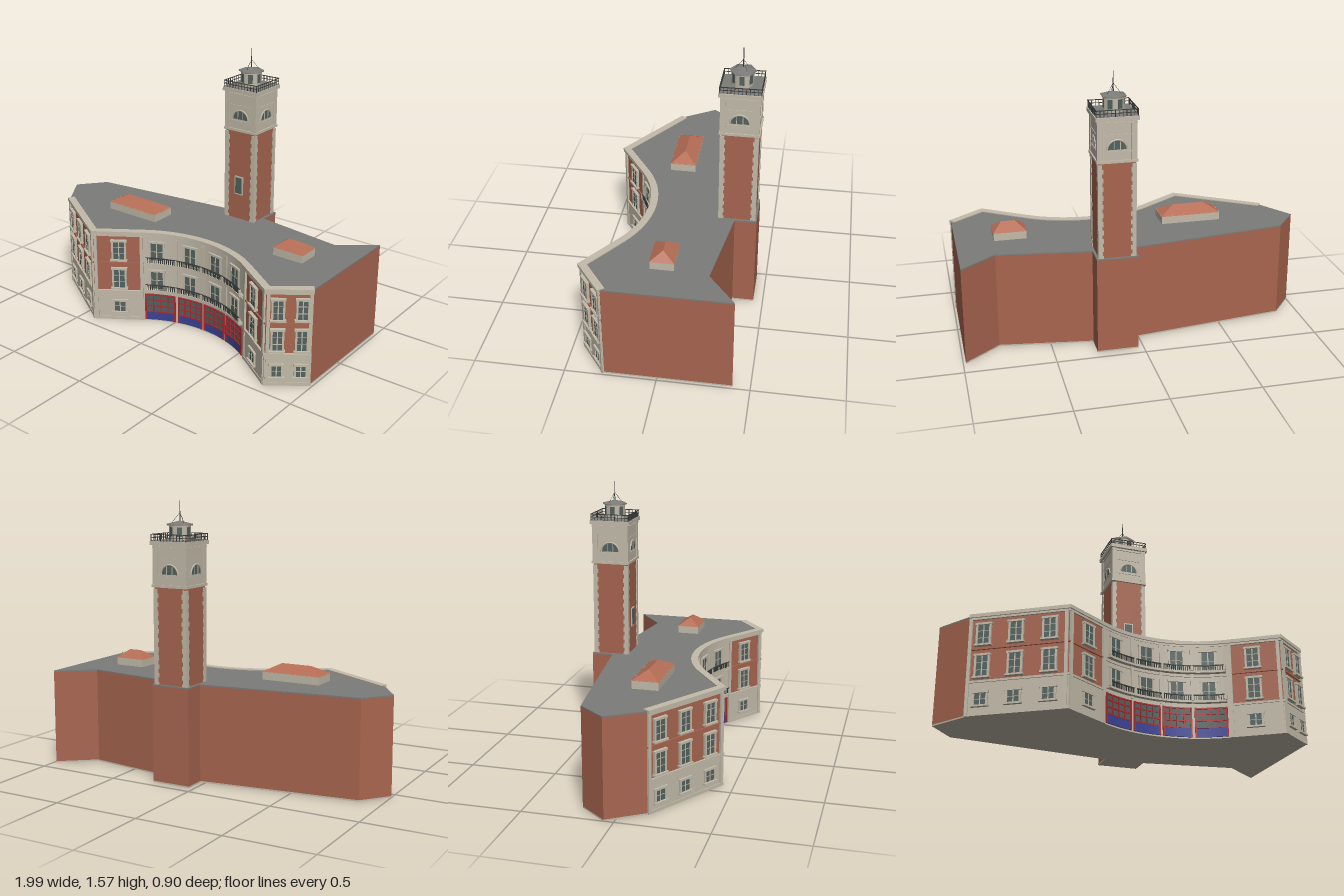
import * as THREE from 'three';

const mat = (name, color) => Object.assign(new THREE.MeshStandardMaterial({ color }), { name });
const M = {
  brick: mat('brick', 0xa8654f), stone: mat('pale stone', 0xc3bbaa), roof: mat('grey roofing', 0x7c7c7b),
  tile: mat('clay tile', 0xb56d55), glass: mat('dark glass', 0x52625f), red: mat('red door frame', 0xb02a30),
  blue: mat('blue door panel', 0x3c4396), metal: mat('dark metal', 0x3a3c3a),
};

function add(parent, name, geo, material, x = 0, y = 0, z = 0) {
  const m = new THREE.Mesh(geo, material);
  m.name = name;
  m.position.set(x, y, z);
  parent.add(m);
  return m;
}
const box = (p, name, material, w, h, d, x, y, z) => add(p, name, new THREE.BoxGeometry(w, h, d), material, x, y, z);
function group(parent, name) {
  const g = new THREE.Group();
  g.name = name;
  parent.add(g);
  return g;
}

// Plan polygon [x, z] raised from y0 to y1
function prism(parent, name, pts, y0, y1, material) {
  const shape = new THREE.Shape(pts.map(([x, z]) => new THREE.Vector2(x, -z)));
  const geo = new THREE.ExtrudeGeometry(shape, { depth: y1 - y0, bevelEnabled: false });
  geo.rotateX(-Math.PI / 2);
  return add(parent, name, geo, material, 0, y0, 0);
}

// Street front in plan, left to right: wing, concave arc, wing
const ARC = { x: 0.19, z: 0.804, r: 0.644, half: 0.593 };
const front = [[-0.87, 0.14], [-0.41, 0.43]];
for (let i = 0; i <= 28; i++) {
  const a = -ARC.half + (2 * ARC.half * i) / 28;
  front.push([ARC.x + ARC.r * Math.sin(a), ARC.z - ARC.r * Math.cos(a)]);
}
front.push([0.79, 0.43], [0.985, 0.285]);
const arcX0 = -0.17, arcX1 = 0.55;

// Position and heading of the front wall at a given x
function at(x) {
  let i = 0;
  while (i < front.length - 2 && front[i + 1][0] < x) i++;
  const [a, b] = [front[i], front[i + 1]];
  const t = (x - a[0]) / (b[0] - a[0]);
  return { x, z: a[1] + t * (b[1] - a[1]), turn: Math.atan2(a[1] - b[1], b[0] - a[0]) };
}
function stretch(x0, x1) {
  const p = (x) => [x, at(x).z];
  return [p(x0), ...front.filter(([x]) => x > x0 + 0.003 && x < x1 - 0.003), p(x1)];
}
// Mitred offset of a plan line
function offset(pts, d) {
  const normal = (a, b) => new THREE.Vector2(a[1] - b[1], b[0] - a[0]).normalize();
  return pts.map((p, i) => {
    const n0 = normal(pts[Math.max(i - 1, 0)], pts[Math.max(i, 1)]);
    const n1 = normal(pts[Math.min(i, pts.length - 2)], pts[Math.min(i + 1, pts.length - 1)]);
    const n = n0.clone().add(n1).normalize();
    const k = d / n.dot(n0);
    return [p[0] + n.x * k, p[1] + n.y * k];
  });
}
// Band that follows the front wall
function band(parent, name, x0, x1, y0, y1, material, out, inner = -0.004) {
  const line = stretch(x0, x1);
  return prism(parent, name, [...offset(line, out), ...offset(line, inner).reverse()], y0, y1, material);
}
// Group on the front wall: local x along the wall, local z outward
function onWall(parent, name, x, y) {
  const g = group(parent, name), p = at(x);
  g.position.set(p.x, y, p.z);
  g.rotation.y = p.turn;
  return g;
}

function windowUnit(parent, x, y0, y1, w, panes) {
  const h = y1 - y0, g = onWall(parent, 'window', x, (y0 + y1) / 2);
  box(g, 'windowGlass', M.glass, w, h, 0.008, 0, 0, 0.006);
  for (const s of [-1, 1]) box(g, 'windowJamb', M.stone, 0.011, h, 0.016, s * (w / 2 - 0.004), 0, 0.007);
  box(g, 'windowLintel', M.stone, w + 0.012, 0.012, 0.02, 0, h / 2, 0.008);
  box(g, 'windowSill', M.stone, w + 0.016, 0.01, 0.026, 0, -h / 2, 0.01);
  box(g, 'windowMullion', M.stone, 0.006, h, 0.012, 0, 0, 0.006);
  for (let i = 1; i < panes; i++) box(g, 'glazingBar', M.stone, w, 0.003, 0.011, 0, -h / 2 + (h * i) / panes, 0.006);
}

function garageDoor(parent, x0, x1) {
  const g = group(parent, 'garageDoor');
  band(g, 'doorGlass', x0, x1, 0.008, 0.174, M.glass, 0.009);
  band(g, 'doorPanel', x0, x1, 0.008, 0.06, M.blue, 0.012);
  for (const y of [0.06, 0.098, 0.136, 0.169]) band(g, 'doorRail', x0, x1, y - 0.003, y + 0.004, M.red, 0.014);
  for (let i = 0; i <= 4; i++) {
    const s = onWall(g, 'doorStile', x0 + ((x1 - x0) * i) / 4, 0.091);
    const edge = i % 4 === 0;
    box(s, 'doorBar', M.red, edge ? 0.009 : 0.006, edge ? 0.166 : 0.112, 0.014, 0, edge ? 0 : 0.027, 0.008);
  }
}

function balcony(parent, y) {
  const g = group(parent, 'balcony');
  band(g, 'balconySlab', arcX0 + 0.012, arcX1 - 0.012, y - 0.012, y, M.stone, 0.032);
  band(g, 'balconyHandrail', arcX0 + 0.012, arcX1 - 0.012, y + 0.028, y + 0.033, M.metal, 0.031, 0.025);
  for (let i = 0; i <= 60; i++) {
    const p = onWall(g, 'baluster', arcX0 + 0.014 + (0.692 * i) / 60, y + 0.015);
    const post = i % 15 === 0;
    box(p, 'balusterBar', post ? M.stone : M.metal, post ? 0.012 : 0.004, 0.032, post ? 0.012 : 0.004, 0, 0, 0.028);
  }
}

// Small hipped roof house
function roofHouse(parent, x0, x1, z0, z1, r0, r1) {
  const g = group(parent, 'roofHouse');
  const cx = (x0 + x1) / 2, cz = (z0 + z1) / 2;
  box(g, 'roofHouseWalls', M.stone, x1 - x0 - 0.006, 0.05, z1 - z0 - 0.006, cx, 0.582, cz);
  const y = 0.605, A = [x0, y, z1], B = [x1, y, z1], C = [x1, y, z0], D = [x0, y, z0], E = [r0, 0.65, cz], F = [r1, 0.65, cz];
  const tris = [A, B, F, A, F, E, C, D, E, C, E, F, B, C, F, D, A, E, A, D, C, A, C, B];
  const geo = new THREE.BufferGeometry();
  geo.setAttribute('position', new THREE.Float32BufferAttribute(tris.flat(), 3));
  geo.computeVertexNormals();
  add(g, 'hippedRoof', geo, M.tile);
}

function tower(parent) {
  const g = group(parent, 'tower');
  g.position.set(0.147, 0, -0.333);
  box(g, 'towerShaft', M.brick, 0.2, 0.56, 0.2, 0, 0.825, 0);
  box(g, 'belfry', M.stone, 0.206, 0.245, 0.206, 0, 1.222, 0);
  for (const [y, h, w] of [[1.105, 0.014, 0.222], [1.158, 0.008, 0.212], [1.25, 0.006, 0.212], [1.315, 0.008, 0.216], [1.338, 0.022, 0.234]])
    box(g, 'belfryCourse', M.stone, w, h, w, 0, y, 0);
  box(g, 'towerRoof', M.roof, 0.222, 0.006, 0.222, 0, 1.35, 0);
  // Quoins stacked at the corners
  for (const sx of [-1, 1]) for (const sz of [-1, 1]) {
    for (let i = 0; i < 22; i++) {
      const w = i % 2 ? 0.024 : 0.03;
      box(g, 'quoin', M.stone, w, 0.0245, w, sx * (0.105 - w / 2), 0.562 + i * 0.0245, sz * (0.105 - w / 2));
    }
    box(g, 'belfryPilaster', M.stone, 0.03, 0.235, 0.03, sx * 0.092, 1.218, sz * 0.092);
  }
  // Lunette and railing on each face
  for (let k = 0; k < 4; k++) {
    const f = group(g, 'towerFace');
    f.rotation.y = (k * Math.PI) / 2;
    add(f, 'lunetteGlass', new THREE.CircleGeometry(0.05, 20, 0, Math.PI), M.glass, 0, 1.17, 0.1045);
    add(f, 'lunetteArch', new THREE.TorusGeometry(0.053, 0.005, 6, 20, Math.PI), M.stone, 0, 1.17, 0.104);
    for (const x of [-0.017, 0.017]) box(f, 'lunetteBar', M.stone, 0.004, 0.045, 0.006, x, 1.192, 0.104);
    box(f, 'railTop', M.metal, 0.226, 0.004, 0.004, 0, 1.385, 0.111);
    box(f, 'railMiddle', M.metal, 0.226, 0.003, 0.003, 0, 1.368, 0.111);
    for (let i = 0; i < 12; i++) box(f, 'railPost', M.metal, 0.003, 0.036, 0.003, -0.111 + i * 0.0202, 1.367, 0.111);
  }
  // Stair window
  box(g, 'towerWindowFrame', M.stone, 0.058, 0.112, 0.012, -0.004, 0.768, 0.1);
  box(g, 'towerWindowGlass', M.glass, 0.044, 0.096, 0.008, -0.004, 0.768, 0.104);
  // Hexagonal lantern with mast
  const l = group(g, 'lantern');
  l.position.x = -0.003;
  add(l, 'lanternWalls', new THREE.CylinderGeometry(0.06, 0.06, 0.085, 6), M.stone, 0, 1.39, 0);
  for (let k = 0; k < 6; k++) {
    const f = group(l, 'lanternSide');
    f.rotation.y = Math.PI / 6 + (k * Math.PI) / 3;
    box(f, 'lanternGlass', M.glass, 0.026, 0.05, 0.006, 0, 1.397, 0.052);
  }
  add(l, 'lanternEaves', new THREE.CylinderGeometry(0.073, 0.07, 0.008, 6), M.stone, 0, 1.435, 0);
  add(l, 'lanternRoof', new THREE.ConeGeometry(0.073, 0.018, 6), M.roof, 0, 1.448, 0);
  add(l, 'mast', new THREE.CylinderGeometry(0.002, 0.003, 0.115, 6), M.metal, 0, 1.508, 0);
  for (let k = 0; k < 3; k++) {
    const a = (k * 2 * Math.PI) / 3;
    const line = new THREE.LineCurve3(new THREE.Vector3(0, 1.5, 0), new THREE.Vector3(0.045 * Math.sin(a), 1.444, 0.045 * Math.cos(a)));
    add(l, 'guyWire', new THREE.TubeGeometry(line, 1, 0.001, 4), M.metal);
  }
}

export function createModel() {
  const model = new THREE.Group();
  model.name = 'fireStation';
  // Main block
  const plan = [...front, [0.985, -0.405], [0.786, -0.25], [0.262, -0.322], [0.262, -0.445], [0.03, -0.445],
    [0.03, -0.322], [-0.877, -0.205], [-1, -0.053]];
  prism(model, 'foundation', plan, 0, 0.008, M.stone);
  prism(model, 'brickWalls', plan, 0.008, 0.552, M.brick);
  prism(model, 'flatRoof', plan, 0.552, 0.56, M.roof);
  band(model, 'cornice', -0.87, 0.985, 0.545, 0.565, M.stone, 0.016, -0.026);
  band(model, 'corniceMoulding', -0.87, 0.985, 0.533, 0.545, M.stone, 0.009);

  // Wing facades
  for (const [x0, x1] of [[-0.87, arcX0], [arcX1, 0.985]]) {
    band(model, 'stoneBase', x0, x1, 0, 0.18, M.stone, 0.006);
    band(model, 'baseCourse', x0, x1, 0.178, 0.19, M.stone, 0.012);
    band(model, 'plinth', x0, x1, 0, 0.018, M.stone, 0.01);
    band(model, 'floorCourse', x0, x1, 0.361, 0.368, M.brick, 0.009);
  }
  for (const x of [-0.862, -0.42, -0.4, -0.178, 0.558, 0.78, 0.8, 0.976])
    box(onWall(model, 'cornerPilaster', x, 0.27), 'pilasterShaft', M.stone, 0.018, 0.54, 0.014, 0, 0, 0.005);
  for (const [x, w] of [[-0.8, 0.08], [-0.65, 0.08], [-0.495, 0.08], [-0.287, 0.082], [0.663, 0.082], [0.84, 0.068], [0.942, 0.068]]) {
    windowUnit(model, x, 0.05, 0.125, w, 2);
    windowUnit(model, x, 0.205, 0.33, w, 3);
    windowUnit(model, x, 0.385, 0.505, w, 3);
  }

  // Curved centre
  band(model, 'curvedStoneWall', arcX0, arcX1, 0, 0.552, M.stone, 0.006);
  for (const [x0, x1] of [[-0.16, 0], [0.025, 0.178], [0.2, 0.355], [0.378, 0.535]]) garageDoor(model, x0, x1);
  for (const x of [-0.1, 0.1, 0.28, 0.452]) {
    windowUnit(model, x, 0.205, 0.325, 0.088, 2);
    windowUnit(model, x, 0.385, 0.505, 0.088, 2);
  }
  for (const x of [0.012, 0.189, 0.366])
    box(onWall(model, 'centrePilaster', x, 0.36), 'pilasterShaft', M.stone, 0.016, 0.35, 0.01, 0, 0, 0.007);
  band(model, 'upperCourse', arcX0, arcX1, 0.352, 0.36, M.stone, 0.012);
  balcony(model, 0.21);
  balcony(model, 0.382);

  // Roof structures
  roofHouse(model, -0.56, -0.205, -0.035, 0.118, -0.475, -0.295);
  roofHouse(model, 0.585, 0.775, -0.065, 0.07, 0.645, 0.722);
  tower(model);
  return model;
}
